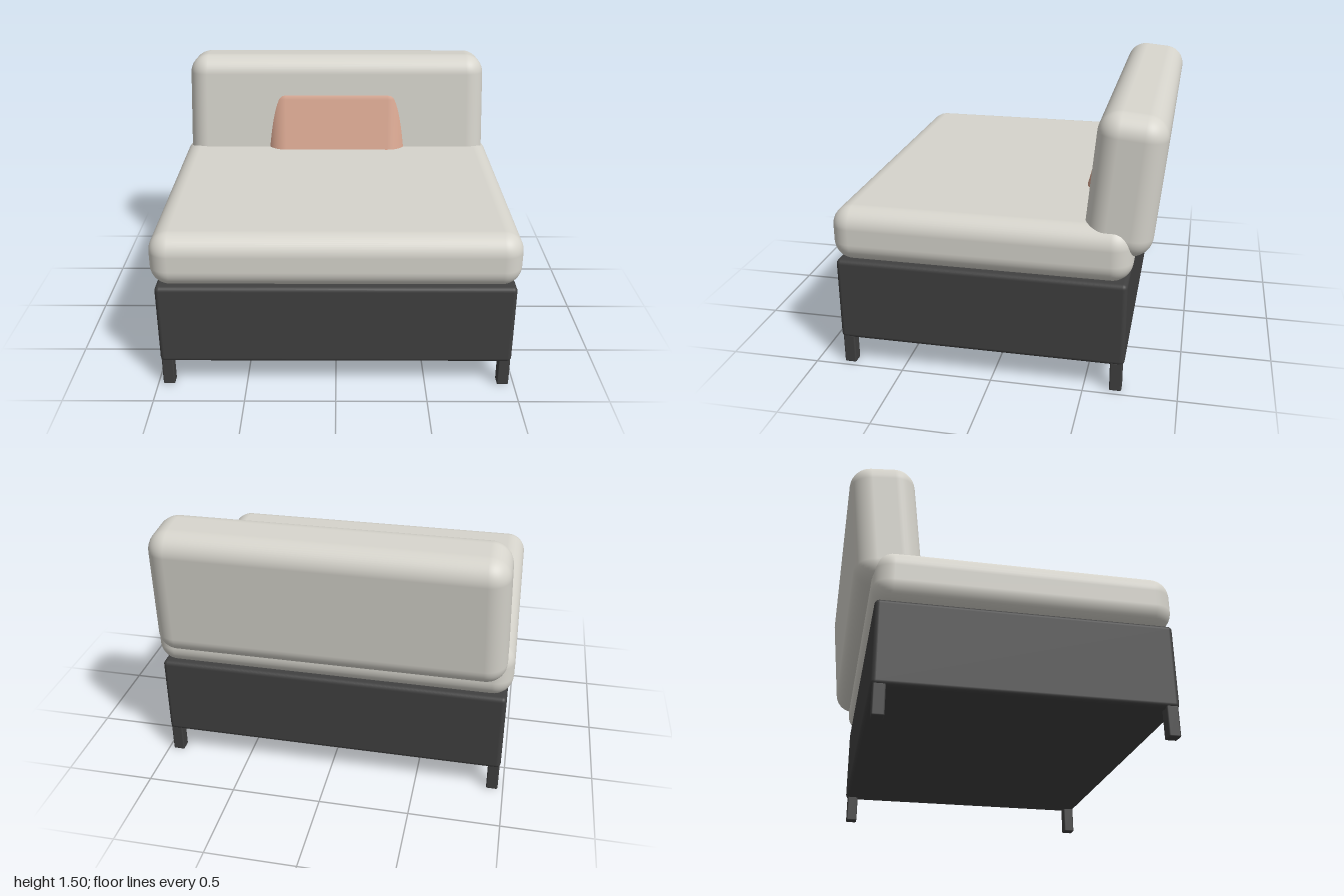
import * as THREE from 'three';
import { RoundedBoxGeometry } from 'three/addons/geometries/RoundedBoxGeometry.js';

export function createModel() {
  const model = new THREE.Group();
  model.name = 'armlessLoungeChair';

  const material = (name, color) => {
    const m = new THREE.MeshStandardMaterial({ color });
    m.name = name;
    return m;
  };
  const fabric = material('light grey fabric', 0xd6d4cc);
  const charcoal = material('charcoal', 0x404040);
  const terracotta = material('terracotta fabric', 0xd8a690);

  // Rounded block: size, edge radius, centre and lean about x
  function block(name, mat, [w, h, d], radius, [x, y, z], lean = 0, segments = 6) {
    const mesh = new THREE.Mesh(new RoundedBoxGeometry(w, h, d, segments, radius), mat);
    mesh.name = name;
    mesh.position.set(x, y, z);
    mesh.rotation.x = lean;
    model.add(mesh);
    return mesh;
  }

  // Upholstered base and seat cushion
  block('base', charcoal, [1.95, 0.47, 1.57], 0.025, [0, 0.39, 0.07], 0, 3);
  block('seatCushion', fabric, [2, 0.305, 1.61], 0.11, [0, 0.7725, 0.07]);

  // Back cushion leans back and narrows slightly toward the top
  const back = block('backCushion', fabric, [1.905, 0.745, 0.356], 0.115, [0, 1.124, -0.675], -0.095);
  const p = back.geometry.attributes.position;
  for (let i = 0; i < p.count; i++) p.setX(i, p.getX(i) * (1 - 0.035 * p.getY(i)));

  // Small lumbar pillow sunk between seat and back
  block('lumbarPillow', terracotta, [0.91, 0.7, 0.26], 0.125, [0, 0.987, -0.569], -0.253);

  // Four square legs
  for (const [side, x] of [['Left', 0.938], ['Right', -0.938]]) {
    for (const [end, z] of [['front', 0.812], ['back', -0.672]]) {
      block(`${end}${side}Leg`, charcoal, [0.065, 0.17, 0.065], 0.008, [x, 0.085, z], 0, 2);
    }
  }

  return model;
}
